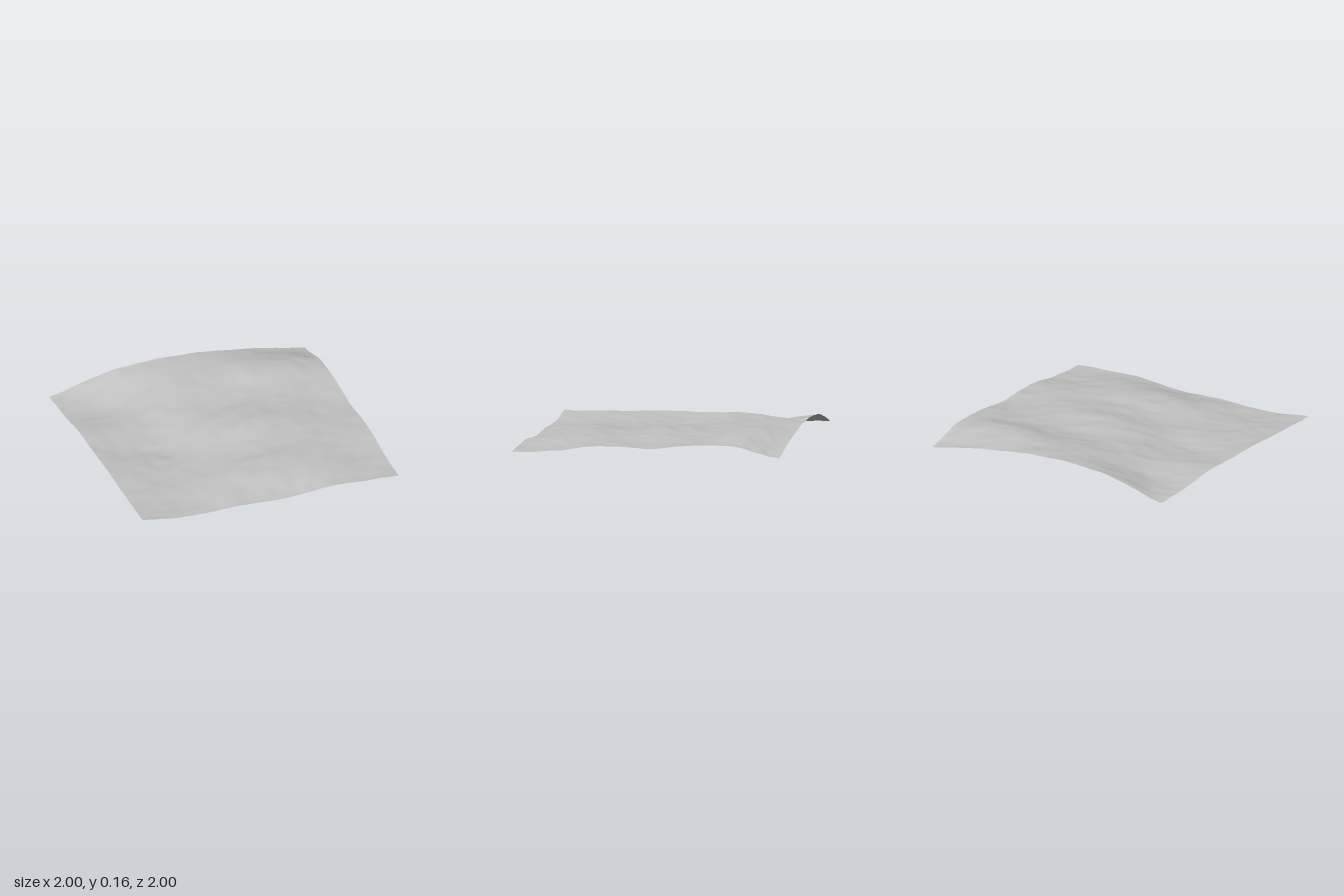
import * as THREE from 'three';

// Broad relief: rows run from back (z = -1) to front (z = 1), columns from x = -1 to x = 1
const RELIEF = [
  [0.020, 0.085, 0.148, 0.170, 0.168, 0.158, 0.125, 0.085, 0.041],
  [0.034, 0.032, 0.078, 0.128, 0.148, 0.160, 0.170, 0.152, 0.114],
  [0.060, 0.058, 0.062, 0.094, 0.106, 0.106, 0.108, 0.106, 0.114],
  [0.060, 0.038, 0.028, 0.076, 0.110, 0.123, 0.112, 0.088, 0.084],
  [0.056, 0.048, 0.042, 0.050, 0.075, 0.090, 0.094, 0.094, 0.092],
  [0.050, 0.040, 0.028, 0.058, 0.085, 0.097, 0.088, 0.064, 0.050],
  [0.042, 0.018, 0.012, 0.022, 0.015, 0.025, 0.050, 0.041, 0.031],
];

// Smooth curve through evenly spaced values, t in 0..1
function spline(values, t) {
  const n = values.length - 1;
  const i = Math.min(Math.floor(t * n), n - 1);
  const f = t * n - i;
  const at = (k) => values[Math.max(0, Math.min(n, k))];
  const [a, b, c, d] = [at(i - 1), at(i), at(i + 1), at(i + 2)];
  return b + 0.5 * f * (c - a + f * (2 * a - 5 * b + 4 * c - d + f * (3 * (b - c) + d - a)));
}

// Repeatable value noise in -1..1
function hash(i, j) {
  const s = Math.sin(i * 127.1 + j * 311.7 + 17.3) * 43758.5453;
  return (s - Math.floor(s)) * 2 - 1;
}
function noise(x, z) {
  const i = Math.floor(x), j = Math.floor(z);
  const fade = (t) => t * t * (3 - 2 * t);
  const u = fade(x - i), v = fade(z - j);
  const lerp = THREE.MathUtils.lerp;
  return lerp(
    lerp(hash(i, j), hash(i + 1, j), u),
    lerp(hash(i, j + 1), hash(i + 1, j + 1), u), v);
}

// Relief plus small ripples, slightly drawn out along a diagonal
function height(x, z) {
  const broad = spline(RELIEF.map((row) => spline(row, (x + 1) / 2)), (z + 1) / 2);
  const p = x - 0.4 * z, q = z + 0.4 * x;
  return broad + 0.005 * noise(p * 6, q * 8) + 0.003 * noise(p * 11 + 31, q * 15 + 7);
}

export function createModel() {
  const ground = new THREE.MeshStandardMaterial({ color: 0xc0c0c0, side: THREE.DoubleSide });
  ground.name = 'ground grey';

  // Thin square sheet of rolling land
  const geometry = new THREE.PlaneGeometry(2, 2, 100, 100).rotateX(-Math.PI / 2);
  const pos = geometry.attributes.position;
  for (let i = 0; i < pos.count; i++) pos.setY(i, height(pos.getX(i), pos.getZ(i)));
  geometry.computeBoundingBox();
  geometry.translate(0, -geometry.boundingBox.min.y, 0);
  geometry.computeVertexNormals();

  const terrain = new THREE.Mesh(geometry, ground);
  terrain.name = 'terrain';
  const model = new THREE.Group();
  model.name = 'landscape';
  model.add(terrain);
  return model;
}
